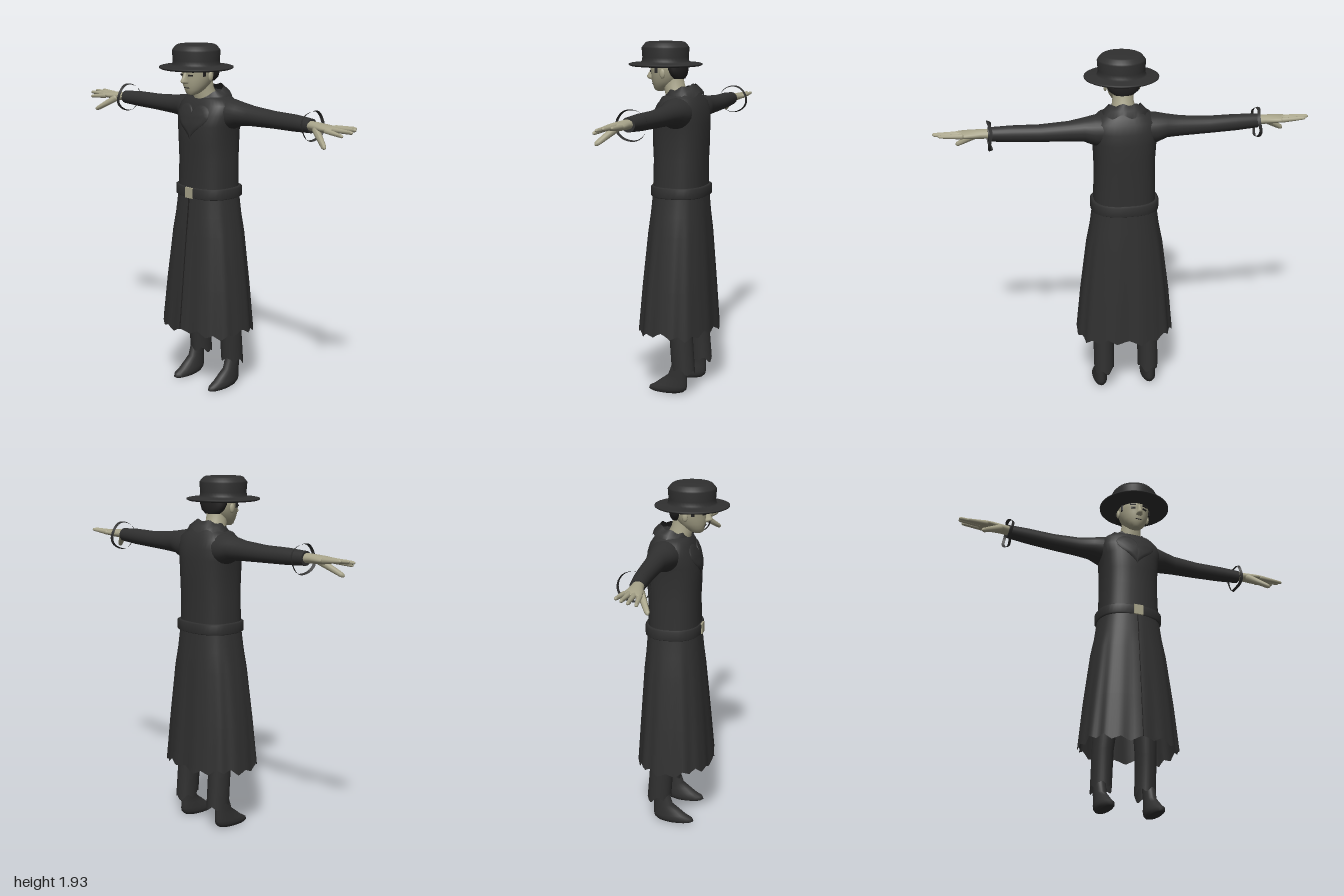
import * as THREE from 'three';

const mat = (name, color, side = THREE.FrontSide) => {
  const m = new THREE.MeshStandardMaterial({ color, side });
  m.name = name;
  return m;
};

// Skin over a list of point rings, with optional end caps
function loft(rings, capStart = true, capEnd = true) {
  const n = rings[0].length, pos = [], idx = [];
  rings.forEach(r => r.forEach(p => pos.push(...p)));
  for (let i = 0; i < rings.length - 1; i++)
    for (let j = 0; j < n; j++) {
      const a = i * n + j, b = i * n + (j + 1) % n;
      idx.push(a, b, b + n, a, b + n, a + n);
    }
  const cap = (ring, flip) => {
    const s = pos.length / 3;
    ring.forEach(p => pos.push(...p));
    pos.push(...[0, 1, 2].map(k => ring.reduce((t, p) => t + p[k], 0) / n));
    for (let j = 0; j < n; j++) {
      const a = s + j, b = s + (j + 1) % n;
      flip ? idx.push(b, a, s + n) : idx.push(a, b, s + n);
    }
  };
  if (capStart) cap(rings[0], true);
  if (capEnd) cap(rings[rings.length - 1], false);
  const g = new THREE.BufferGeometry();
  g.setAttribute('position', new THREE.Float32BufferAttribute(pos, 3));
  g.setIndex(idx);
  g.computeVertexNormals();
  return g;
}

const angles = n => Array.from({ length: n }, (_, i) => i / n * Math.PI * 2);
const pw = (v, e) => Math.sign(v) * Math.abs(v) ** e;

// Level ring: half width, back z, front z; dy(t) shifts points up or down
const level = ([y, rx, zb, zf, cx = 0], n = 32, e = 1, dy = () => 0, grow = () => 1) =>
  angles(n).map(t => [cx + rx * grow(t) * pw(Math.sin(t), e), y + dy(t),
    (zb + zf) / 2 + (zf - zb) / 2 * grow(t) * pw(Math.cos(t), e)]);

// Upright ring for shapes running along x: x, centre y, half height, centre z, half depth
const across = ([x, cy, ry, cz, rz], n = 18) =>
  angles(n).map(t => [x, cy - ry * Math.sin(t), cz + rz * Math.cos(t)]);

function mirrored(geo) {
  const g = geo.clone().scale(-1, 1, 1), ix = g.index;
  for (let i = 0; i < ix.count; i += 3) {
    const a = ix.getX(i);
    ix.setX(i, ix.getX(i + 1));
    ix.setX(i + 1, a);
  }
  return g;
}

// Rounded finger between two points
function finger(a, b, r) {
  const p = new THREE.Vector3(...a), q = new THREE.Vector3(...b), d = q.clone().sub(p);
  const g = new THREE.CapsuleGeometry(r, d.length() - r, 4, 8);
  const taper = g.attributes.position, len = d.length();
  for (let i = 0; i < taper.count; i++) {
    const s = 0.85 - 0.4 * taper.getY(i) / len;
    taper.setX(i, taper.getX(i) * s);
    taper.setZ(i, taper.getZ(i) * s);
  }
  g.computeVertexNormals();
  g.applyQuaternion(new THREE.Quaternion().setFromUnitVectors(new THREE.Vector3(0, 1, 0), d.normalize()));
  return g.translate(...p.add(q).multiplyScalar(0.5).toArray());
}

export function createModel() {
  const group = new THREE.Group();
  const cloth = mat('charcoal cloth', 0x303030);
  const openCloth = mat('charcoal open cloth', 0x303030, THREE.DoubleSide);
  const skin = mat('pale olive skin', 0xa8a48a);
  const dark = mat('dark hair', 0x222121);
  const add = (name, geo, m) => {
    const mesh = new THREE.Mesh(geo, m);
    mesh.name = name;
    group.add(mesh);
    return mesh;
  };
  const pair = (name, geo, m) => {
    add('left' + name, geo, m);
    add('right' + name, mirrored(geo), m);
  };

  // Torso
  const E = 0.8;
  const body = [[1.1, .17, -.185, .1], [1.3, .164, -.185, .095], [1.4, .165, -.19, .1], [1.5, .172, -.19, .1],
    [1.56, .185, -.185, .085], [1.61, .175, -.17, .062], [1.64, .14, -.15, .048], [1.66, .095, -.125, .035]];
  add('torso', loft(body.map((r, i) => level(r, 40, E, t => i > 6 ? -.015 * Math.cos(t) : 0))), cloth);

  // Heart shaped chest panel following the torso surface
  const chestZ = (x, y) => {
    const i = body.findIndex((r, k) => k && r[0] >= y), a = body[i - 1], b = body[i];
    const [, rx, zb, zf] = a.map((v, k) => v + (b[k] - v) * (y - a[0]) / (b[0] - a[0]));
    return (zb + zf) / 2 + (zf - zb) / 2 * Math.max(0, 1 - (Math.abs(x) / rx) ** (2 / E)) ** (E / 2);
  };
  const heart = [1, .97, .75, .5, .25, .02].map((s, i) => angles(40).map(t => {
    const x = -s * .115 * Math.sin(t) ** 3;
    const y = 1.535 + s * .0065 * (13 * Math.cos(t) - 5 * Math.cos(2 * t) - 2 * Math.cos(3 * t) - Math.cos(4 * t));
    return [x, y, chestZ(x, y) + (i ? .005 : -.003)];
  }));
  add('chestPanel', loft(heart, false, true), openCloth);

  // Ragged collar
  const rag = t => .012 * Math.sin(7 * t) - .02 * Math.cos(t);
  add('collar', loft([level([1.635, .125, -.165, .045], 40, 1, rag), level([1.662, .115, -.15, .04], 40, 1, t => -.02 * Math.cos(t)),
    level([1.685, .085, -.12, .03], 40, 1, t => rag(t) / 2 - .012 * Math.cos(t))], false, false), openCloth);

  // Long skirt of the coat with folds and a torn hem
  const folds = k => t => 1 + k * (Math.cos(11 * t) * .6 + Math.cos(17 * t) * .4);
  const tooth = t => { const u = (t * 16 / (Math.PI * 2)) % 1; return .05 * Math.abs(u - .5) - .012 + .01 * Math.sin(5 * t); };
  const skirt = [[.35, .272, -.245, .172], [.6, .248, -.228, .152], [.9, .21, -.208, .124], [1.0, .19, -.198, .112], [1.13, .172, -.188, .1]];
  add('coatSkirt', loft(skirt.map((r, i) => level(r, 96, .86, i ? undefined : tooth, folds([.025, .016, .008, .004, 0][i]))),
    false, false), openCloth);
  const seam = add('frontSeam', new THREE.BoxGeometry(.004, .74, .006), dark);
  seam.position.set(0, .73, .143);
  seam.rotation.x = -.098;

  // Belt and buckle
  add('belt', loft([[1.1, .176, -.19, .1], [1.106, .185, -.2, .108], [1.154, .185, -.2, .108], [1.16, .176, -.19, .1]]
    .map(r => level(r, 40, E))), cloth);
  add('buckle', new THREE.BoxGeometry(.054, .058, .01).translate(.003, 1.13, .108), skin);

  // Sleeves
  pair('Sleeve', loft([[.08, 1.56, .085, -.07, .09], [.16, 1.56, .082, -.07, .088], [.22, 1.568, .063, -.075, .07], [.3, 1.565, .054, -.08, .052],
    [.45, 1.563, .046, -.08, .047], [.6, 1.565, .044, -.073, .042], [.72, 1.565, .037, -.065, .037]].map(r => across(r, 24))), cloth);

  // Loose torn cuff hoops
  const hoop = (x, r) => angles(36).map(t => [x + .006 * Math.sin(3 * t), 1.562 - r * Math.sin(t), -.08 + r * 1.08 * Math.cos(t)]);
  pair('CuffHoop', loft([hoop(.704, .074), hoop(.72, .08)], false, false), openCloth);

  // Hands
  pair('Palm', loft([[.69, 1.567, .026, -.062, .03], [.76, 1.567, .024, -.056, .034], [.82, 1.566, .021, -.052, .046],
    [.87, 1.567, .015, -.053, .05], [.885, 1.567, .008, -.053, .045]].map(r => across(r))), skin);
  [[[.85, 1.568, -.09], [.97, 1.578, -.1]], [[.85, 1.57, -.065], [.995, 1.576, -.067]], [[.85, 1.568, -.04], [1, 1.568, -.034]],
    [[.85, 1.563, -.016], [.965, 1.55, -.003]]].forEach(([a, b], i) => pair('Finger' + (i + 1), finger(a, b, .014), skin));
  pair('Thumb', finger([.77, 1.56, -.035], [.88, 1.487, .028], .02), skin);

  // Trousers with ragged bottoms, and shoes
  const cut = t => .016 * Math.cos(t) + .014 * Math.sin(5 * t);
  pair('TrouserLeg', loft([level([.14, .057, -.178, -.042, .127], 30, 1, cut), level([.35, .058, -.16, -.028, .125], 30),
    level([.65, .07, -.15, .02, .105], 30), level([1.0, .08, -.14, .05, .085], 30)], false, true), openCloth);
  pair('Shoe', loft([[0, .03, -.09, .08, .14], [.008, .038, -.115, .092, .141], [.025, .042, -.134, .085, .142], [.045, .04, -.139, .05, .142],
    [.075, .036, -.138, .012, .142], [.105, .033, -.138, -.028, .143], [.2, .034, -.14, -.06, .141]].map(r => level(r, 24))), cloth);

  // Neck and head
  add('neck', loft([[1.6, .078, -.1, .04], [1.65, .066, -.085, .045], [1.7, .056, -.06, .06], [1.75, .055, -.05, .06]].map(r => level(r, 24))), skin);
  add('head', loft([[1.666, .022, .06, .1], [1.674, .036, .035, .112], [1.695, .055, 0, .118], [1.72, .069, -.03, .126], [1.75, .08, -.05, .128],
    [1.78, .087, -.06, .13], [1.81, .088, -.065, .136], [1.84, .08, -.06, .12]].map(r => level(r, 32))), skin);
  add('nose', loft([[1.726, .012, .1, .136], [1.732, .019, .1, .154], [1.742, .016, .1, .163], [1.765, .01, .1, .148], [1.79, .009, .1, .136]]
    .map(r => level(r, 12))), skin);
  add('hair', loft([[1.735, .05, -.06, 0], [1.755, .078, -.068, .012], [1.785, .092, -.072, .025], [1.83, .092, -.07, .045]]
    .map(r => level(r, 28))), dark);
  pair('Ear', new THREE.SphereGeometry(1, 10, 8).scale(.01, .026, .016).translate(.09, 1.765, .03), skin);
  pair('Sideburn', new THREE.BoxGeometry(.008, .045, .016).rotateY(.25).translate(.083, 1.79, .07), dark);
  pair('Eye', new THREE.BoxGeometry(.026, .008, .006).rotateY(.4).translate(.035, 1.773, .124), dark);
  pair('Eyebrow', new THREE.BoxGeometry(.036, .007, .008).rotateY(.4).translate(.037, 1.793, .126), dark);
  add('mouth', new THREE.BoxGeometry(.034, .004, .008).translate(0, 1.705, .119), dark);

  // Wide brimmed hat
  const profile = [[0, 1.80], [.19, 1.803], [.2, 1.808], [.2, 1.814], [.19, 1.817], [.135, 1.822], [.128, 1.83], [.126, 1.85],
    [.13, 1.9], [.125, 1.908], [.11, 1.926], [.1, 1.931], [0, 1.932]].map(p => new THREE.Vector2(...p));
  add('hat', new THREE.LatheGeometry(profile, 40).translate(0, 0, .05), cloth);

  return group;
}
